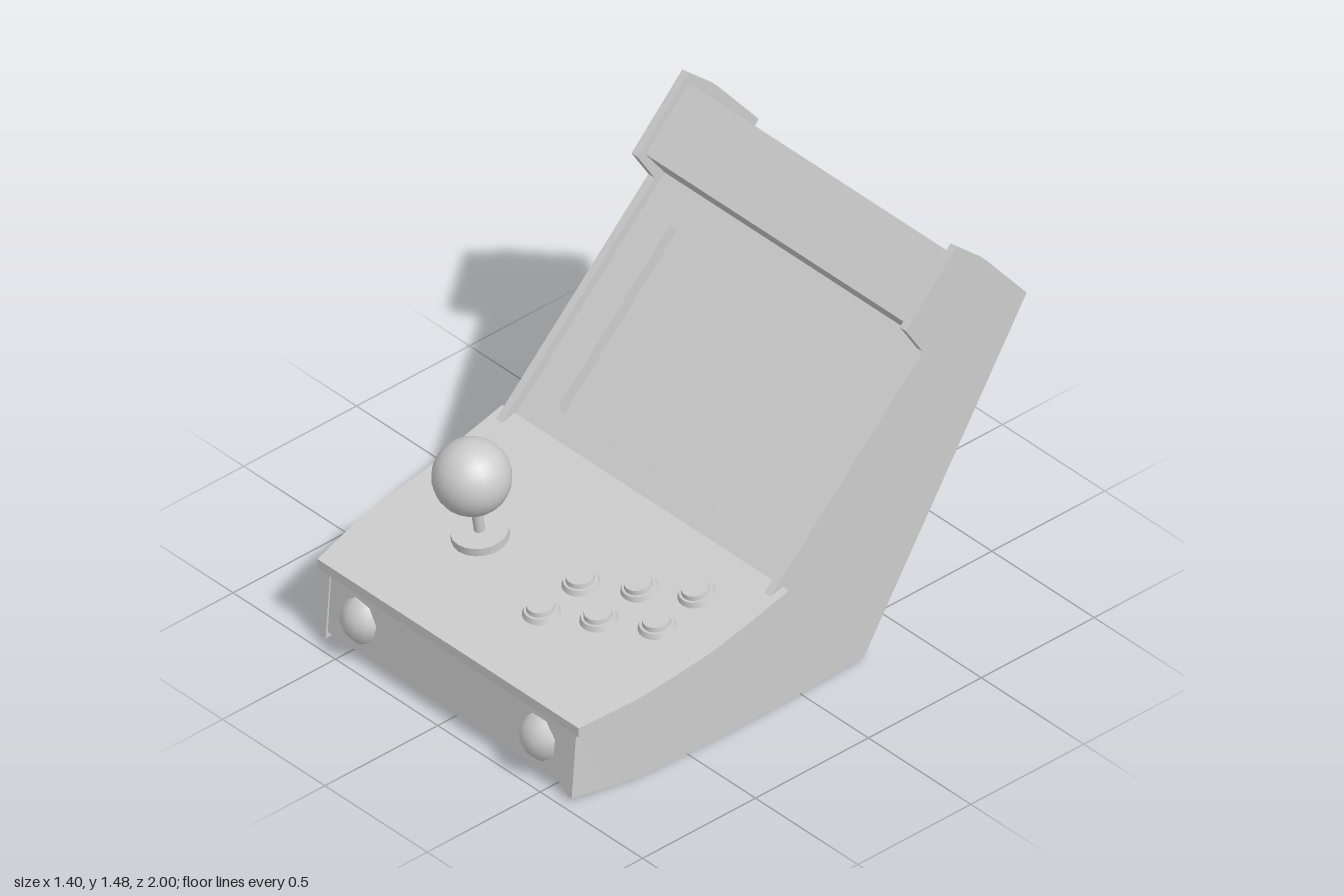
import * as THREE from 'three';

const grey = new THREE.MeshStandardMaterial({ color: 0xcccccc });
const thin = new THREE.MeshStandardMaterial({ color: 0xcccccc, side: THREE.DoubleSide });

function add(parent, name, geometry, x = 0, y = 0, z = 0, material = grey) {
  const mesh = new THREE.Mesh(geometry, material);
  mesh.name = name;
  mesh.position.set(x, y, z);
  parent.add(mesh);
  return mesh;
}

// Solid through four-cornered sections ordered back to front, corners anticlockwise from the front
function loft(sections) {
  const p = [];
  const quad = (a, b, c, d) => p.push(...a, ...b, ...c, ...a, ...c, ...d);
  for (let i = 0; i < sections.length - 1; i++) {
    for (let k = 0; k < 4; k++) {
      const n = (k + 1) % 4;
      quad(sections[i][k], sections[i][n], sections[i + 1][n], sections[i + 1][k]);
    }
  }
  quad(...[...sections[0]].reverse());
  quad(...sections[sections.length - 1]);
  const g = new THREE.BufferGeometry();
  g.setAttribute('position', new THREE.Float32BufferAttribute(p, 3));
  g.computeVertexNormals();
  return g;
}

// Top line of the control deck: z, height, half width
const deckLine = [
  [0.08, 0.475, 0.70], [0.25, 0.43, 0.70], [0.41, 0.388, 0.695],
  [0.58, 0.363, 0.689], [0.73, 0.342, 0.68], [0.84, 0.326, 0.66], [0.955, 0.31, 0.638],
];

// Height and forward tilt of the deck at a given z
function deckAt(z) {
  let i = 0;
  while (i < deckLine.length - 2 && deckLine[i + 1][0] < z) i++;
  const [z0, y0] = deckLine[i], [z1, y1] = deckLine[i + 1];
  const slope = (y1 - y0) / (z1 - z0);
  return { y: y0 + slope * (z - z0), tilt: Math.atan(-slope) };
}

export function createModel() {
  const model = new THREE.Group();
  model.name = 'tabletopArcadeCabinet';

  // Side panels: flat rear part and inward-curving front part
  const outline = [
    [0.35, 0], [0.35, 0.385], [0.14, 0.455], [-0.54, 1.125], [-0.465, 1.245], [-0.69, 1.475],
    [-0.82, 1.36], [-1, 1.14], [-0.28, 0.015], [0.1, 0],
  ];
  const sideShape = new THREE.Shape(outline.map(([z, y]) => new THREE.Vector2(-z, y)));
  const cheek = [ // bottom z, top z, outer x, bottom y, top y
    [0.35, 0.35, 0.67, 0, 0.385], [0.55, 0.55, 0.665, 0, 0.35], [0.73, 0.73, 0.653, 0, 0.325],
    [0.84, 0.835, 0.637, 0.01, 0.31], [0.965, 0.943, 0.615, 0.018, 0.295],
  ];
  for (const s of [1, -1]) {
    const side = new THREE.Group();
    side.name = s > 0 ? 'leftSide' : 'rightSide';
    model.add(side);
    const rear = new THREE.ExtrudeGeometry(sideShape, { depth: 0.03, bevelEnabled: false });
    rear.rotateY(Math.PI / 2);
    add(side, 'sidePanel', rear, s > 0 ? 0.64 : -0.67);
    add(side, 'sideFront', loft(cheek.map(([zb, zt, x, yb, yt]) => {
      const loop = [[s * (x - 0.028), yb, zb], [s * x, yb, zb], [s * x, yt, zt], [s * (x - 0.028), yt, zt]];
      return s > 0 ? loop : loop.reverse();
    })));
  }

  // Control deck
  add(model, 'controlDeck', loft(deckLine.map(([z, y, w]) =>
    [[-w, y - 0.038, z], [w, y - 0.038, z], [w, y, z], [-w, y, z]])));

  // Front wall with its two domed buttons
  const wall = add(model, 'frontWall', new THREE.BoxGeometry(1.2, 0.235, 0.015), 0, 0.157, 0.938);
  wall.rotation.x = -0.07;
  const dome = new THREE.SphereGeometry(0.095, 8, 4, 0, Math.PI * 2, 0, Math.PI / 2);
  dome.rotateX(Math.PI / 2);
  for (const [x, turn] of [[-0.445, 0.25], [0.43, 0.4]]) {
    add(model, 'frontButton', dome, x, 0.155, 0.905, thin).rotation.z = turn;
  }

  // Flat cabinet panels between the sides, each from [z, y] to [z, y]
  const panels = {
    marqueeUnderside: [-0.585, 1.125, -0.5, 1.24],
    marquee: [-0.5, 1.24, -0.692, 1.435],
    roof: [-0.692, 1.435, -0.965, 1.135],
    backPanel: [-0.965, 1.135, -0.265, 0.03],
  };
  for (const [name, [z0, y0, z1, y1]] of Object.entries(panels)) {
    const g = new THREE.PlaneGeometry(1.28, Math.hypot(z1 - z0, y1 - y0));
    add(model, name, g, 0, (y0 + y1) / 2, (z0 + z1) / 2, thin).rotation.x = Math.atan2(z1 - z0, y1 - y0);
  }

  // Sloping bezel with a recessed screen
  const display = new THREE.Group();
  display.name = 'display';
  display.position.set(0, 0.46, 0.08);
  display.rotation.x = -Math.PI / 4;
  model.add(display);
  const rect = (P, w, v0, v1) => {
    const r = new P();
    r.moveTo(-w, v0).lineTo(w, v0).lineTo(w, v1).lineTo(-w, v1).closePath();
    return r;
  };
  const bezel = rect(THREE.Shape, 0.64, 0, 0.94);
  bezel.holes.push(rect(THREE.Path, 0.507, 0.1, 0.806));
  add(display, 'bezel', new THREE.ExtrudeGeometry(bezel, { depth: 0.048, bevelEnabled: false }), 0, 0, -0.048);
  add(display, 'screen', new THREE.PlaneGeometry(1.014, 0.706), 0, 0.453, -0.047, thin);

  // Joystick standing square to the deck
  const stick = new THREE.Group();
  stick.name = 'joystick';
  const foot = deckAt(0.53);
  stick.position.set(-0.31, foot.y, 0.53);
  stick.rotation.x = foot.tilt;
  model.add(stick);
  add(stick, 'stickBase', new THREE.CylinderGeometry(0.098, 0.098, 0.04, 20), 0, 0.012);
  add(stick, 'stickShaft', new THREE.CylinderGeometry(0.019, 0.019, 0.15, 12), 0, 0.095);
  add(stick, 'stickBall', new THREE.SphereGeometry(0.134, 20, 14), 0, 0.265);

  // Six push buttons: wide collar with a raised plunger
  const collar = new THREE.CylinderGeometry(0.058, 0.068, 0.026, 20);
  const plunger = new THREE.CylinderGeometry(0.046, 0.052, 0.03, 20);
  for (const [x, z] of [[0.12, 0.65], [0.29, 0.55], [0.465, 0.45], [0.115, 0.47], [0.285, 0.365], [0.46, 0.27]]) {
    const button = new THREE.Group();
    const { y, tilt } = deckAt(z);
    button.name = 'pushButton';
    button.position.set(x, y, z);
    button.rotation.x = tilt;
    add(button, 'buttonCollar', collar, 0, 0.006);
    add(button, 'buttonPlunger', plunger, 0, 0.021);
    model.add(button);
  }
  return model;
}
